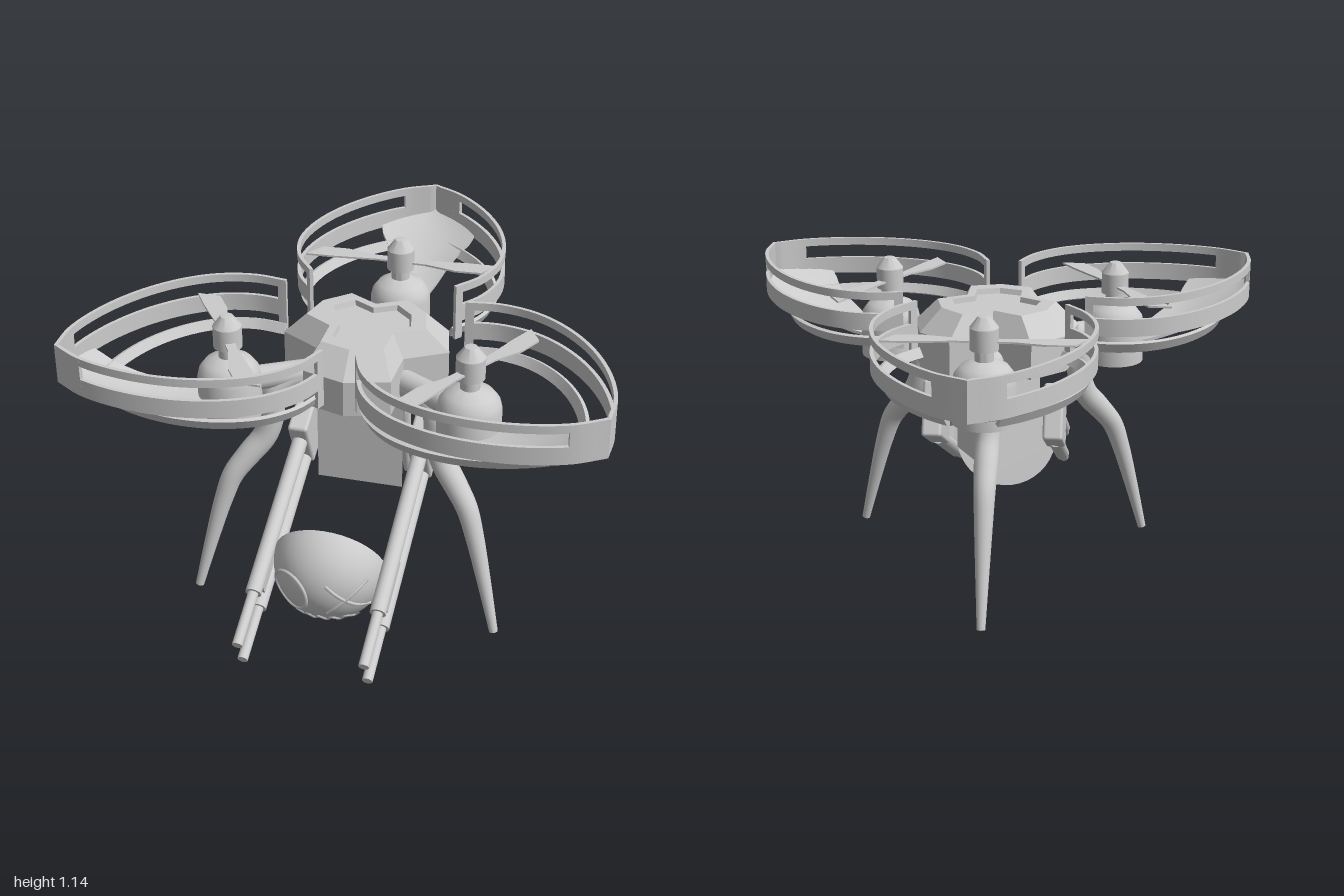
import * as THREE from 'three';
import { toCreasedNormals } from 'three/addons/utils/BufferGeometryUtils.js';
import { RoundedBoxGeometry } from 'three/addons/geometries/RoundedBoxGeometry.js';

const mat = new THREE.MeshStandardMaterial({ color: 0xcccccc });
const thin = new THREE.MeshStandardMaterial({ color: 0xcccccc, side: THREE.DoubleSide });
const V = (x, y, z) => new THREE.Vector3(x, y, z);
const CENTER = 0.117; // z of the three-fold axis

function add(parent, name, geo, material = mat) {
  const mesh = new THREE.Mesh(geo, material);
  mesh.name = name;
  parent.add(mesh);
  return mesh;
}

// Skin through rings of equal point count, closed with fan caps
function loft(rings, crease = 0.6) {
  const out = [];
  const tri = (...p) => p.forEach(v => out.push(v.x, v.y, v.z));
  const n = rings[0].length;
  for (let i = 0; i < rings.length - 1; i++)
    for (let j = 0; j < n; j++) {
      const k = (j + 1) % n, a = rings[i], b = rings[i + 1];
      tri(a[j], a[k], b[k]);
      tri(a[j], b[k], b[j]);
    }
  for (const [ring, flip] of [[rings[0], true], [rings[rings.length - 1], false]]) {
    const c = ring.reduce((s, p) => s.add(p), V(0, 0, 0)).divideScalar(n);
    for (let j = 0; j < n; j++) {
      const k = (j + 1) % n;
      flip ? tri(c, ring[k], ring[j]) : tri(c, ring[j], ring[k]);
    }
  }
  const geo = new THREE.BufferGeometry();
  geo.setAttribute('position', new THREE.Float32BufferAttribute(out, 3));
  geo.computeVertexNormals();
  return toCreasedNormals(geo, crease);
}

// Tube whose radius follows radius(t)
function taperedTube(curve, segs, sides, radius) {
  const geo = new THREE.TubeGeometry(curve, segs, 1, sides);
  const p = geo.attributes.position, v = V(0, 0, 0);
  for (let i = 0; i < p.count; i++) {
    const t = Math.floor(i / (sides + 1)) / segs, c = curve.getPointAt(t);
    v.fromBufferAttribute(p, i).sub(c).multiplyScalar(radius(t)).add(c);
    p.setXYZ(i, v.x, v.y, v.z);
  }
  return geo;
}

// Half outline of a rotor guard from tip to open end; -z is outward
const outline = new THREE.CatmullRomCurve3(
  [[0, 1.112], [0.12, 1.045], [0.245, 0.917], [0.34, 0.76], [0.39, 0.6], [0.395, 0.46], [0.355, 0.33], [0.28, 0.227]]
    .map(([x, r]) => V(x, 0, -r)));

// Band along the outline; section(t) gives [inset, y] corners
function band(side, t0, t1, section, steps = 36) {
  const rings = [];
  for (let i = 0; i <= steps; i++) {
    const t = t0 + (t1 - t0) * i / steps;
    const p = outline.getPointAt(t), d = outline.getTangentAt(t);
    const ring = section(t).map(([inset, y]) =>
      V(side * Math.max(0, p.x - d.z * inset), y, p.z + d.x * inset));
    rings.push(side > 0 ? ring : ring.reverse());
  }
  return loft(rings);
}
const wall = (y0, y1) => () => [[0, y0], [0, y1], [0.014, y1], [0.014, y0]];

function buildGuard() {
  const guard = new THREE.Group();
  guard.name = 'rotorGuard';
  const lower = t => {
    const d = 0.008 + 0.11 * (1 - t) ** 2;
    return [[d, 0.93], [d + 0.014, 0.935], [d + 0.034, 0.9], [d + 0.02, 0.892]];
  };
  for (const s of [-1, 1]) {
    add(guard, 'guardTopRail', band(s, 0, 1, wall(1.08, 1.11)), thin);
    add(guard, 'guardMainRail', band(s, 0, 1, wall(0.962, 1.028)), thin);
    add(guard, 'guardLowerRail', band(s, 0.17, 1, lower), thin);
    add(guard, 'guardTipWall', band(s, 0, 0.13, wall(0.99, 1.11), 8), thin);
    add(guard, 'guardEndPost', band(s, 0.97, 1, wall(0.892, 1.11), 3), thin);
  }
  // Curved leaf from the motor out to the tip: radius, half width, centre y, edge y
  const rows = [[0.56, 0.055, 0.815, 0.815], [0.64, 0.07, 0.822, 0.825], [0.73, 0.095, 0.838, 0.85],
    [0.82, 0.12, 0.862, 0.885], [0.89, 0.15, 0.89, 0.915], [0.93, 0.18, 0.908, 0.94], [0.965, 0.195, 0.924, 0.965],
    [1.04, 0.122, 0.958, 0.98], [1.085, 0.05, 0.982, 0.99], [1.108, 0.005, 1, 1]];
  const leaf = rows.map(([r, w, yc, ye]) => {
    const us = Array.from({ length: 9 }, (_, i) => i / 4 - 1);
    const line = dy => us.map(u => V(u * w, yc + (ye - yc) * u * u + dy, -r));
    return [...line(0.012), ...line(0).reverse()];
  }).map(ring => ring.reverse());
  add(guard, 'guardLeaf', loft(leaf), thin);
  return guard;
}

function buildRotor() {
  const rotor = new THREE.Group();
  rotor.name = 'rotor';
  rotor.position.z = -0.507;
  const profile = [[0, 0.75], [0.115, 0.75], [0.115, 0.9], [0.108, 0.93], [0.085, 0.96], [0.05, 0.975],
    [0.035, 0.98], [0.035, 1.02], [0.052, 1.02], [0.052, 1.1], [0.022, 1.14], [0, 1.143]];
  const motor = new THREE.LatheGeometry(profile.map(p => new THREE.Vector2(...p)), 32);
  add(rotor, 'motor', toCreasedNormals(motor, 0.6));
  // Two opposed blades
  const shape = new THREE.Shape([[0.03, -0.018], [0.1, -0.018], [0.22, -0.042], [0.32, -0.035], [0.365, 0.04],
    [0.26, 0.035], [0.1, 0.018], [0.03, 0.018]].map(p => new THREE.Vector2(...p)));
  for (let i = 0; i < 2; i++) {
    const blade = add(rotor, 'propellerBlade', new THREE.ExtrudeGeometry(shape, { depth: 0.007, bevelEnabled: false }));
    blade.rotation.set(-Math.PI / 2, 0, i * Math.PI);
    blade.position.y = 1.047;
  }
  return rotor;
}

function buildArm() {
  const arm = new THREE.Group();
  const strut = add(arm, 'motorStrut', new THREE.CylinderGeometry(0.045, 0.045, 0.35, 20));
  strut.rotation.x = Math.PI / 2;
  strut.position.set(0, 0.875, -0.28);
  const path = new THREE.CatmullRomCurve3([[0.2, 0.865], [0.29, 0.86], [0.345, 0.81], [0.357, 0.71],
    [0.385, 0.63], [0.45, 0.555], [0.51, 0.48], [0.55, 0.38], [0.605, 0.2], [0.66, 0.005]].map(([r, y]) => V(0, y, -r)));
  add(arm, 'leg', taperedTube(path, 48, 16, t => t < 0.4 ? 0.046 : 0.046 - 0.03 * (t - 0.4) / 0.6));
  const foot = add(arm, 'footTip', new THREE.SphereGeometry(0.016, 12, 8));
  foot.position.set(0, 0.016, -0.658);
  arm.add(buildRotor(), buildGuard());
  return arm;
}

function buildBody() {
  const body = new THREE.Group();
  body.name = 'body';
  // Three-lobed outline repeated about the centre
  const lobe = [[-0.16, 0.265], [0, 0.313], [0.16, 0.265], [0.162, 0.094]];
  const plan = [];
  for (let i = 0; i < 3; i++)
    for (const [x, z] of lobe) plan.push(V(x, 0, z).applyAxisAngle(V(0, 1, 0), i * Math.PI * 2 / 3));
  const rings = [[1, 0.83], [1, 0.965], [0.72, 1.05], [0.54, 1.05], [0.52, 1.03]]
    .map(([s, y]) => plan.map(p => V(p.x * s, y, p.z * s)));
  add(body, 'hull', loft(rings, 0.1));
  const column = add(body, 'lowerColumn', toCreasedNormals(new THREE.CylinderGeometry(0.187, 0.187, 0.42, 3), 0.1));
  column.rotation.y = Math.PI;
  column.position.y = 0.63;
  body.position.z = CENTER;
  return body;
}

// Side pod with stacked twin barrels, local +z along the barrels
function buildPod(side) {
  const pod = new THREE.Group();
  pod.name = side > 0 ? 'leftBarrelPod' : 'rightBarrelPod';
  add(pod, 'podHousing', new RoundedBoxGeometry(0.075, 0.215, 0.31, 2, 0.012));
  for (const y of [0.026, -0.084])
    for (const [r, a, b] of [[0.029, 0.1, 0.8], [0.019, 0.75, 1.008]]) {
      const barrel = add(pod, 'barrel', new THREE.CylinderGeometry(r, r, b - a, 18));
      barrel.rotation.x = Math.PI / 2;
      barrel.position.set(0, y, (a + b) / 2);
    }
  const brace = add(pod, 'barrelBrace', new THREE.BoxGeometry(0.03, 0.11, 0.2));
  brace.position.set(0, -0.029, 0.65);
  pod.position.set(side * 0.227, 0.61, 0.078);
  pod.rotation.x = 0.445;
  return pod;
}

// Half-sphere mask with marks raised on its surface
function buildMask() {
  const mask = new THREE.Group();
  mask.name = 'mask';
  const R = 0.207;
  const dome = new THREE.Group();
  dome.rotation.x = Math.PI / 2 + 0.44;
  add(dome, 'maskDome', new THREE.SphereGeometry(R, 40, 20, 0, Math.PI * 2, 0, Math.PI / 2));
  add(dome, 'maskBack', new THREE.CircleGeometry(R, 40)).rotation.x = Math.PI / 2;
  mask.add(dome);
  const on = (x, y) => V(x, y, Math.sqrt(Math.max(0, R * R - x * x - y * y)));
  const mark = (name, pts, closed = false) => add(mask, name,
    new THREE.TubeGeometry(new THREE.CatmullRomCurve3(pts, closed, 'centripetal'), 48, 0.007, 6, closed));
  mark('roundEye', Array.from({ length: 16 }, (_, i) => {
    const a = i * Math.PI / 8;
    return on(-0.105 + 0.07 * Math.cos(a), -0.035 + 0.08 * Math.sin(a));
  }), true);
  for (const s of [-1, 1])
    mark('crossEye', [-1, -0.5, 0, 0.5, 1].map(k => on(0.1 + 0.065 * k, -0.03 + 0.065 * k * s)));
  mark('mouth', Array.from({ length: 13 }, (_, i) => on((i - 6) * 0.022, i % 2 ? -0.15 : -0.125)));
  mask.position.set(0, 0.325, 0.6);
  return mask;
}

export function createModel() {
  const model = new THREE.Group();
  model.name = 'drone';
  model.add(buildBody(), buildMask(), buildPod(1), buildPod(-1));
  ['rearArm', 'rightArm', 'leftArm'].forEach((name, i) => {
    const arm = buildArm();
    arm.name = name;
    arm.position.z = CENTER;
    arm.rotation.y = i * Math.PI * 2 / 3;
    model.add(arm);
  });
  return model;
}
